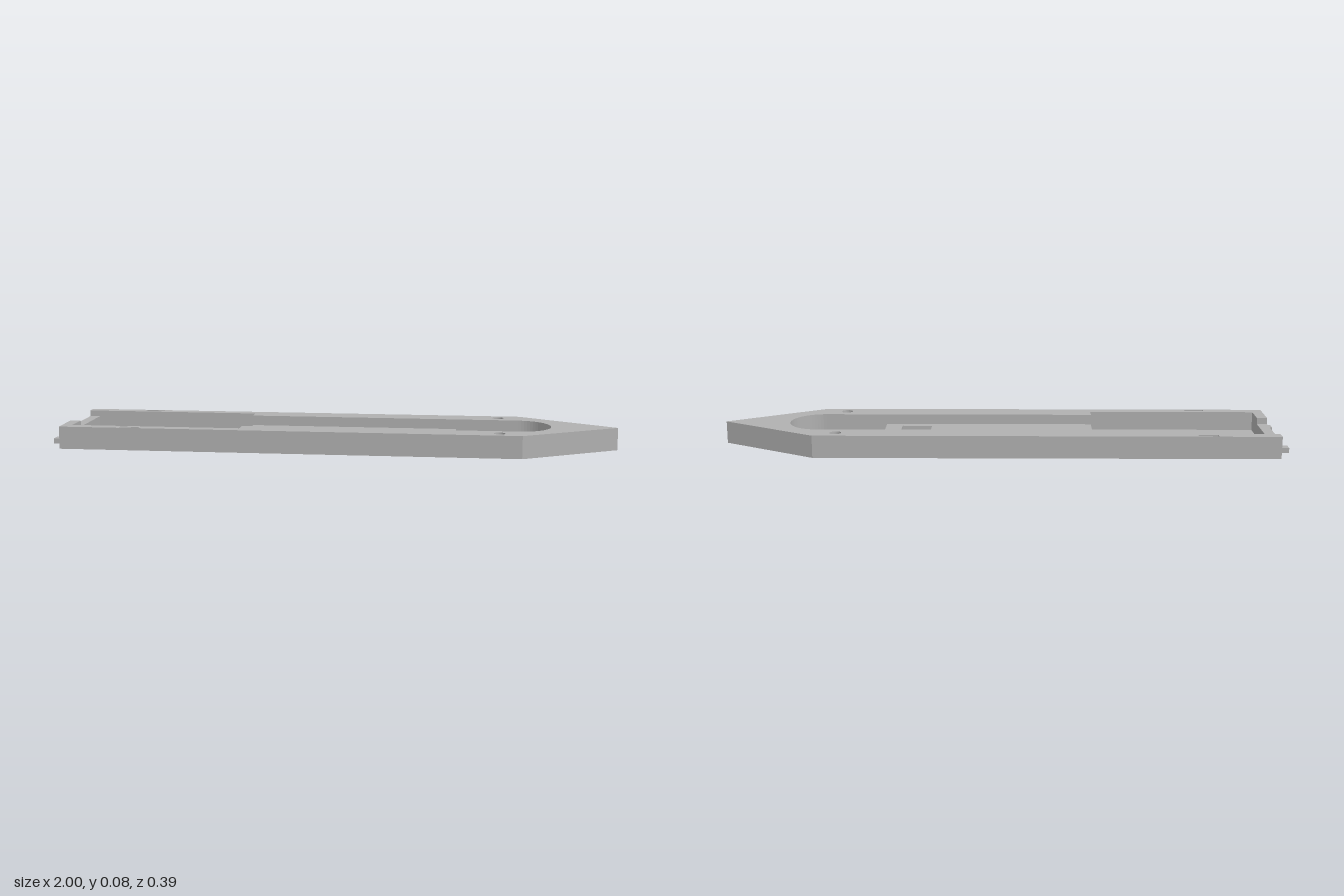
import * as THREE from 'three';

const HALF = 0.197, STERN = -0.967, SHOULDER = 0.66;   // hull outline
const AFT = -0.93, STEP = -0.325, WELL = 0.158;        // wide aft well
const MID = 0.112, BOW = 0.43, ARC = 0.655;            // narrow well with round end
const FLOOR = 0.012, DECK = 0.044, SILL = 0.058, TOP = 0.08;

// Plan points are [x, -z]
const hullPoints = [[STERN, -HALF], [SHOULDER, -HALF], [1, 0], [SHOULDER, HALF], [STERN, HALF]];

function outline(points, Type = THREE.Path) {
  const path = new Type();
  points.forEach(([x, y], i) => (i ? path.lineTo(x, y) : path.moveTo(x, y)));
  path.closePath();
  return path;
}

const rect = (x0, x1, y0, y1) => outline([[x0, y0], [x1, y0], [x1, y1], [x0, y1]]);

// Half circle at the bow end of the narrow well, from +y to -y
function bowArc() {
  const points = [];
  for (let i = 0; i <= 32; i++) {
    const a = Math.PI / 2 - (Math.PI * i) / 32;
    points.push([ARC + MID * Math.cos(a), MID * Math.sin(a)]);
  }
  return points;
}

// Contour shared by both wells, from the aft +y corner round to the aft -y corner
const wellPoints = () => [
  [STEP, WELL], [STEP, MID], ...bowArc(), [STEP, -MID], [STEP, -WELL], [AFT, -WELL],
];

// Round sockets near the bow and slots along the rails
function railHoles() {
  const holes = [];
  for (const s of [-1, 1]) {
    const socket = new THREE.Path();
    socket.absarc(0.583, s * 0.157, 0.02, 0, Math.PI * 2);
    holes.push(socket, rect(-0.75, -0.68, s * 0.182 - 0.009, s * 0.182 + 0.009));
  }
  return holes;
}

export function createModel() {
  const group = new THREE.Group();
  const grey = new THREE.MeshStandardMaterial({ color: 0xb0b0b0 });
  grey.name = 'hull grey';

  // One horizontal slice of the hull
  function layer(name, points, holes, y0, y1) {
    const shape = outline(points, THREE.Shape);
    shape.holes.push(...holes);
    const geometry = new THREE.ExtrudeGeometry(shape, { depth: y1 - y0, bevelEnabled: false, curveSegments: 24 });
    geometry.rotateX(-Math.PI / 2);
    const mesh = new THREE.Mesh(geometry, grey);
    mesh.name = name;
    mesh.position.y = y0;
    group.add(mesh);
  }

  layer('hullBottom', hullPoints, [], 0, FLOOR);

  // Deep aft well, hatch and bow well
  layer('innerDeck', hullPoints, [
    rect(AFT, STEP, -WELL, WELL),
    rect(0.262, 0.37, -0.083, 0.083),
    outline([[BOW, MID], ...bowArc(), [BOW, -MID]]),
  ], FLOOR, DECK);

  // Walls round the joined wells, closed at the stern
  layer('lowerWalls', hullPoints,
    [outline([[AFT, WELL], ...wellPoints()]), ...railHoles()], DECK, SILL);

  // Upper rail, with an off-centre opening in the transom
  layer('upperRail', [
    ...hullPoints, [STERN, WELL], ...wellPoints(), [AFT, -0.067], [STERN, -0.067],
  ], railHoles(), SILL, TOP);

  // Stern pegs
  for (const s of [-1, 1]) {
    const peg = new THREE.Mesh(new THREE.BoxGeometry(0.04, 0.018, 0.038), grey);
    peg.name = s > 0 ? 'leftPeg' : 'rightPeg';
    peg.position.set(-0.98, 0.021, s * 0.143);
    group.add(peg);
  }
  return group;
}
